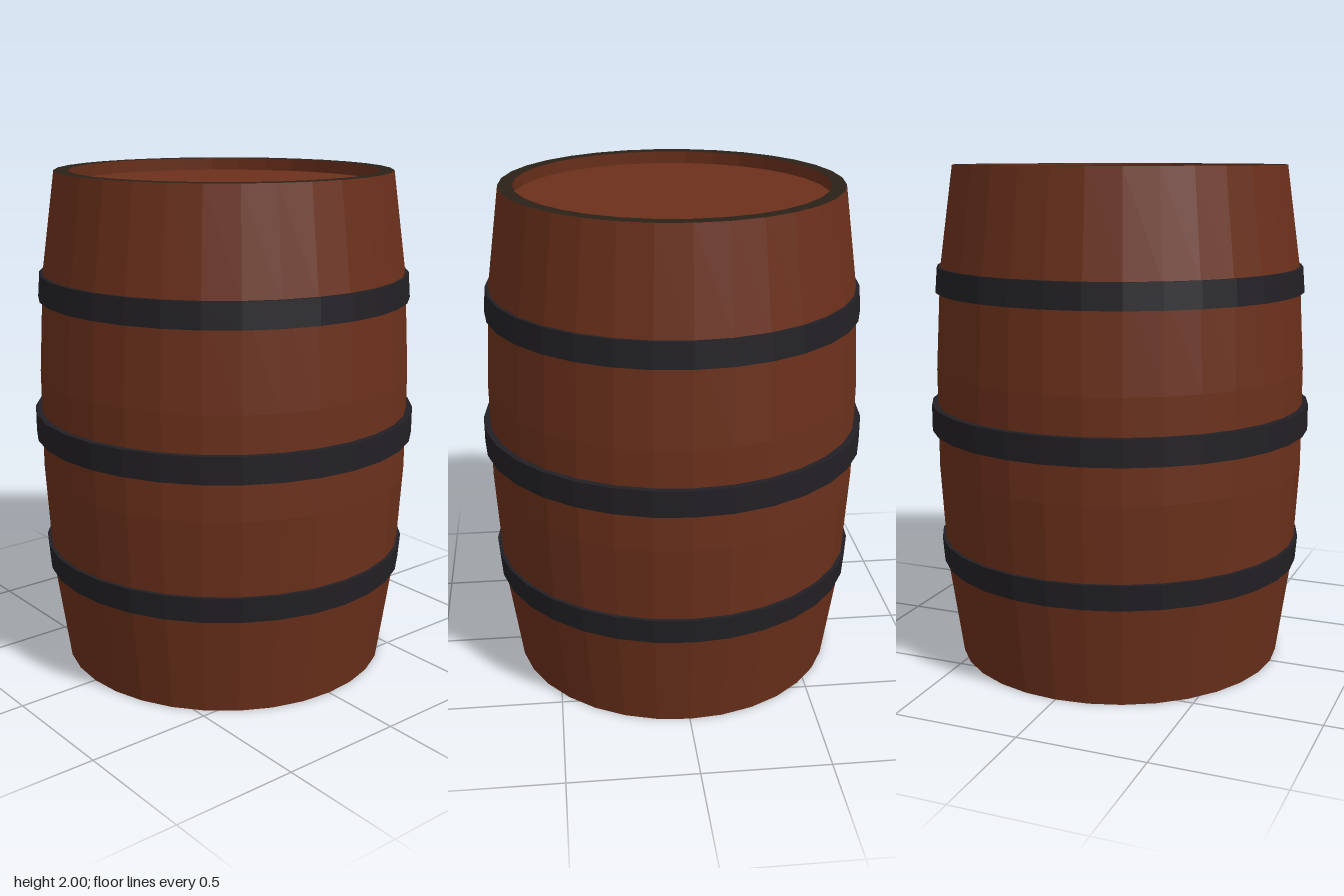
import * as THREE from 'three';

const SIDES = 32;
const RIM_INNER = 0.61;
const RECESS = 0.05;

const mat = (color) => new THREE.MeshStandardMaterial({ color, flatShading: true });

export function createModel() {
  const model = new THREE.Group();
  const wood = mat(0x6b301b);
  const iron = mat(0x222024);
  const endGrain = mat(0x2a2118);

  // Revolve [radius, y] pairs; listed bottom to top the surface faces outward
  const lathe = (name, points, material) => {
    const profile = points.map(([r, y]) => new THREE.Vector2(r, y));
    const mesh = new THREE.Mesh(new THREE.LatheGeometry(profile, SIDES), material);
    mesh.name = name;
    model.add(mesh);
  };

  // Bulging stave wall
  lathe('staves', [
    [0.665, 0], [0.722, 0.4], [0.745, 0.8],
    [0.745, 1.2], [0.722, 1.6], [0.665, 2],
  ], wood);

  // Stave ends, the recessed inner walls and the heads
  lathe('topRim', [[0.665, 2], [RIM_INNER, 2]], endGrain);
  lathe('topInnerWall', [[RIM_INNER, 2], [RIM_INNER + 0.005, 2 - RECESS]], wood);
  lathe('topHead', [[RIM_INNER + 0.005, 2 - RECESS], [0, 2 - RECESS]], wood);
  lathe('bottomRim', [[RIM_INNER, 0], [0.665, 0]], endGrain);
  lathe('bottomInnerWall', [[RIM_INNER + 0.005, RECESS], [RIM_INNER, 0]], wood);
  lathe('bottomHead', [[0, RECESS], [RIM_INNER + 0.005, RECESS]], wood);

  // Iron hoops: bottom y, top y, and outer radius at each
  const hoops = [
    ['lowerHoop', 0.4, 0.5, 0.735, 0.743],
    ['middleHoop', 0.95, 1.055, 0.77, 0.77],
    ['upperHoop', 1.505, 1.605, 0.743, 0.735],
  ];
  for (const [name, y0, y1, r0, r1] of hoops) {
    lathe(name, [[0.71, y0], [r0, y0], [r1, y1], [0.71, y1]], iron);
  }

  return model;
}
